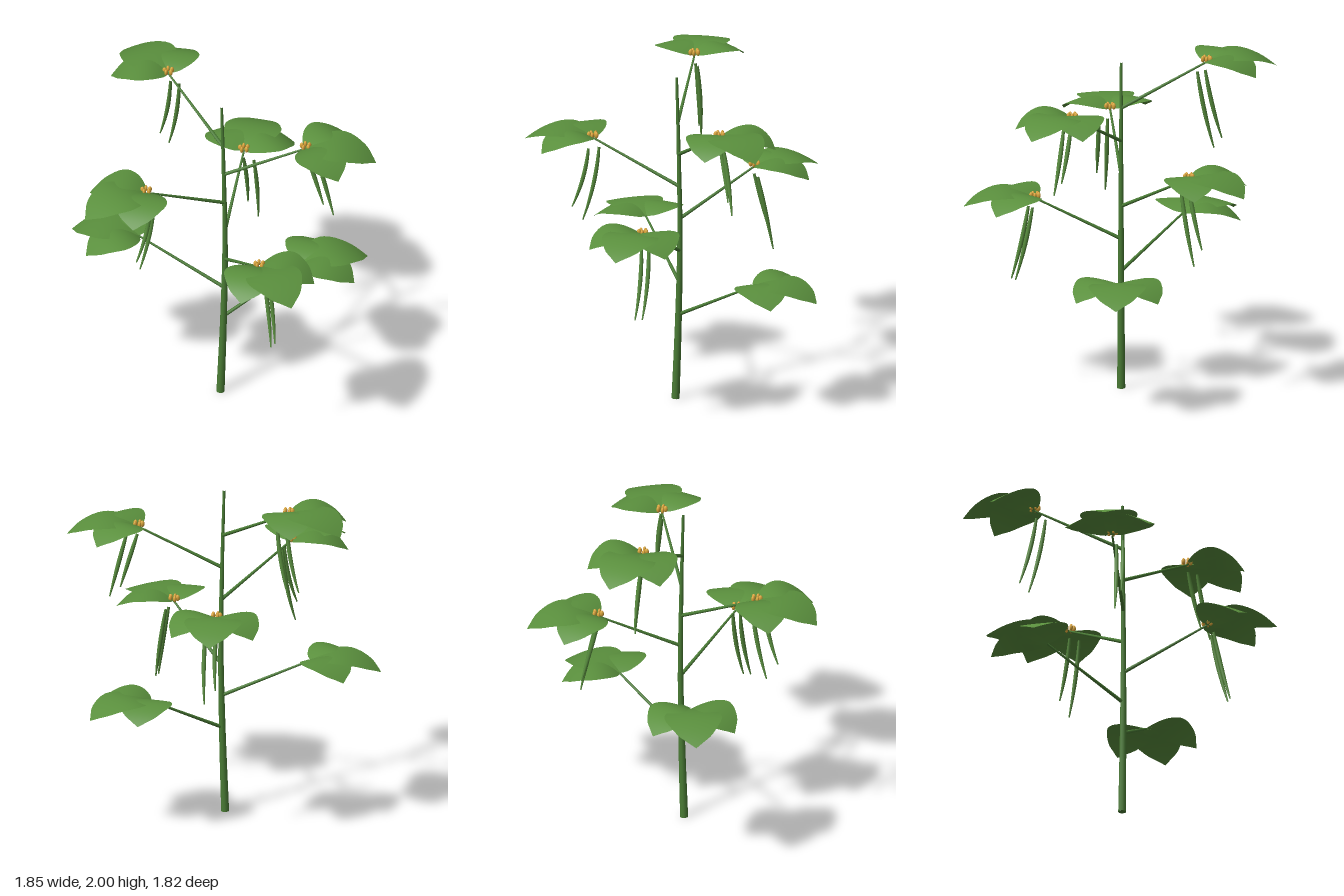
import * as THREE from 'three';

const mat = (name, color, side = THREE.FrontSide) => {
  const m = new THREE.MeshStandardMaterial({ color, side });
  m.name = name;
  return m;
};

// Tube along a curve whose radius follows radiusAt(u)
function taperedTube(curve, rows, sides, radiusAt) {
  const geo = new THREE.TubeGeometry(curve, rows, 1, sides, false);
  const pos = geo.attributes.position;
  const v = new THREE.Vector3();
  for (let i = 0; i <= rows; i++) {
    const centre = curve.getPointAt(i / rows);
    for (let j = 0; j <= sides; j++) {
      const k = i * (sides + 1) + j;
      v.fromBufferAttribute(pos, k).sub(centre).multiplyScalar(radiusAt(i / rows)).add(centre);
      pos.setXYZ(k, v.x, v.y, v.z);
    }
  }
  return geo;
}

// Ovate leaflet along +x, arched lengthwise and slightly bowed crosswise
function leafletGeometry(length, width) {
  const outline = new THREE.SplineCurve([
    [0, 0], [0.06, 0.4], [0.25, 0.84], [0.5, 1], [0.8, 0.63], [0.94, 0.22], [1, 0],
  ].map(([t, w]) => new THREE.Vector2(t, w)));
  const rows = 24, cols = 8, verts = [], index = [];
  for (let i = 0; i <= rows; i++) {
    const p = outline.getPoint(i / rows);
    const rise = 0.23 * p.x - 0.28 * p.x * p.x;
    for (let j = 0; j <= cols; j++) {
      const z = (j / cols * 2 - 1) * p.y * width;
      verts.push(p.x * length, rise - 0.3 * z * z, z);
      if (i < rows && j < cols) {
        const a = i * (cols + 1) + j, c = a + cols + 1;
        index.push(a, a + 1, c, a + 1, c + 1, c);
      }
    }
  }
  const geo = new THREE.BufferGeometry();
  geo.setAttribute('position', new THREE.Float32BufferAttribute(verts, 3));
  geo.setIndex(index);
  geo.computeVertexNormals();
  return geo;
}

export function createModel() {
  const root = new THREE.Group();
  root.name = 'beanPlant';
  const stemMat = mat('stem green', 0x4a7c35);
  const leafMat = mat('leaf green', 0x5a8f3d, THREE.DoubleSide);
  const podMat = mat('pod green', 0x568a3c);
  const flowerMat = mat('flower gold', 0xd9a43a);
  const add = (parent, name, geo, material) => {
    const mesh = new THREE.Mesh(geo, material);
    mesh.name = name;
    parent.add(mesh);
    return mesh;
  };

  // Main stem, gently bowed and tapering
  const stemCurve = new THREE.CatmullRomCurve3([
    [-0.01, 0], [0.009, 0.5], [0.019, 1], [0.011, 1.5], [-0.003, 1.98],
  ].map(([x, y]) => new THREE.Vector3(x, y, -0.012)));
  add(root, 'stem', taperedTube(stemCurve, 24, 10, (u) => 0.024 - 0.016 * u), stemMat);
  const base = add(root, 'stemBase', new THREE.CircleGeometry(0.024, 10), stemMat);
  base.rotation.x = Math.PI / 2;
  base.position.set(-0.01, 0.001, -0.012);

  const middleLeaflet = leafletGeometry(0.42, 0.168);
  const sideLeaflet = leafletGeometry(0.34, 0.16);
  const petal = new THREE.SphereGeometry(1, 10, 8);

  // Pod tops as [x, z, length] for each fruiting node
  const pods = [
    [], [],
    [[0.045, 0.53, 0.44], [0.08, 0.505, 0.44]],
    [[0.296, -0.42, 0.37], [0.344, -0.376, 0.46]],
    [[-0.508, 0.137, 0.37], [-0.465, 0.085, 0.46]],
    [[0.423, 0.265, 0.33], [0.47, 0.307, 0.39]],
    [[-0.132, -0.5, 0.42], [-0.095, -0.455, 0.47]],
  ];

  pods.forEach((nodePods, i) => {
    const angle = THREE.MathUtils.degToRad(137.5 * i);
    const dx = Math.cos(angle), dz = -Math.sin(angle);
    const hub = new THREE.Vector3(-0.01 + 0.51 * dx, 0.766 + 0.1975 * i, -0.016 + 0.51 * dz);
    const node = new THREE.Group();
    node.name = 'node' + (i + 1);
    root.add(node);

    // Leaf stalk
    const start = stemCurve.getPointAt((0.52 + 0.1975 * i) / 1.98);
    add(node, 'leafStalk', taperedTube(new THREE.LineCurve3(start, hub), 4, 8,
      (u) => 0.011 - 0.005 * u), stemMat);

    // Three leaflets fanned around the hub
    const leaf = new THREE.Group();
    leaf.name = 'leaf';
    leaf.position.copy(hub);
    leaf.rotation.y = angle;
    node.add(leaf);
    add(leaf, 'middleLeaflet', middleLeaflet, leafMat).position.y = 0.002;
    for (const s of [-1, 1]) {
      add(leaf, 'sideLeaflet', sideLeaflet, leafMat).rotation.y = s * Math.PI / 4;
    }

    // Hanging pods, swept outward
    for (const [x, z, len] of nodePods) {
      const y = hub.y - 0.045;
      const curve = new THREE.QuadraticBezierCurve3(
        new THREE.Vector3(x, y, z),
        new THREE.Vector3(x + 0.035 * dx + 0.02, y - len * 0.5, z + 0.035 * dz),
        new THREE.Vector3(x + 0.1 * dx, y - len, z + 0.1 * dz));
      add(node, 'pod', taperedTube(curve, 12, 8,
        (u) => 0.004 + 0.009 * Math.sin(Math.PI * (0.15 + 0.85 * u))), podMat);
    }
    if (!nodePods.length) return;

    // Ring of five flower buds above the hub
    for (let k = 0; k < 5; k++) {
      const a = k / 5 * Math.PI * 2;
      const bud = add(node, 'flowerBud', petal, flowerMat);
      bud.position.set(hub.x + 0.023 * Math.cos(a), hub.y + 0.018, hub.z - 0.023 * Math.sin(a));
      bud.scale.set(0.013, 0.02, 0.01);
      bud.rotation.y = a;
    }
  });
  return root;
}
